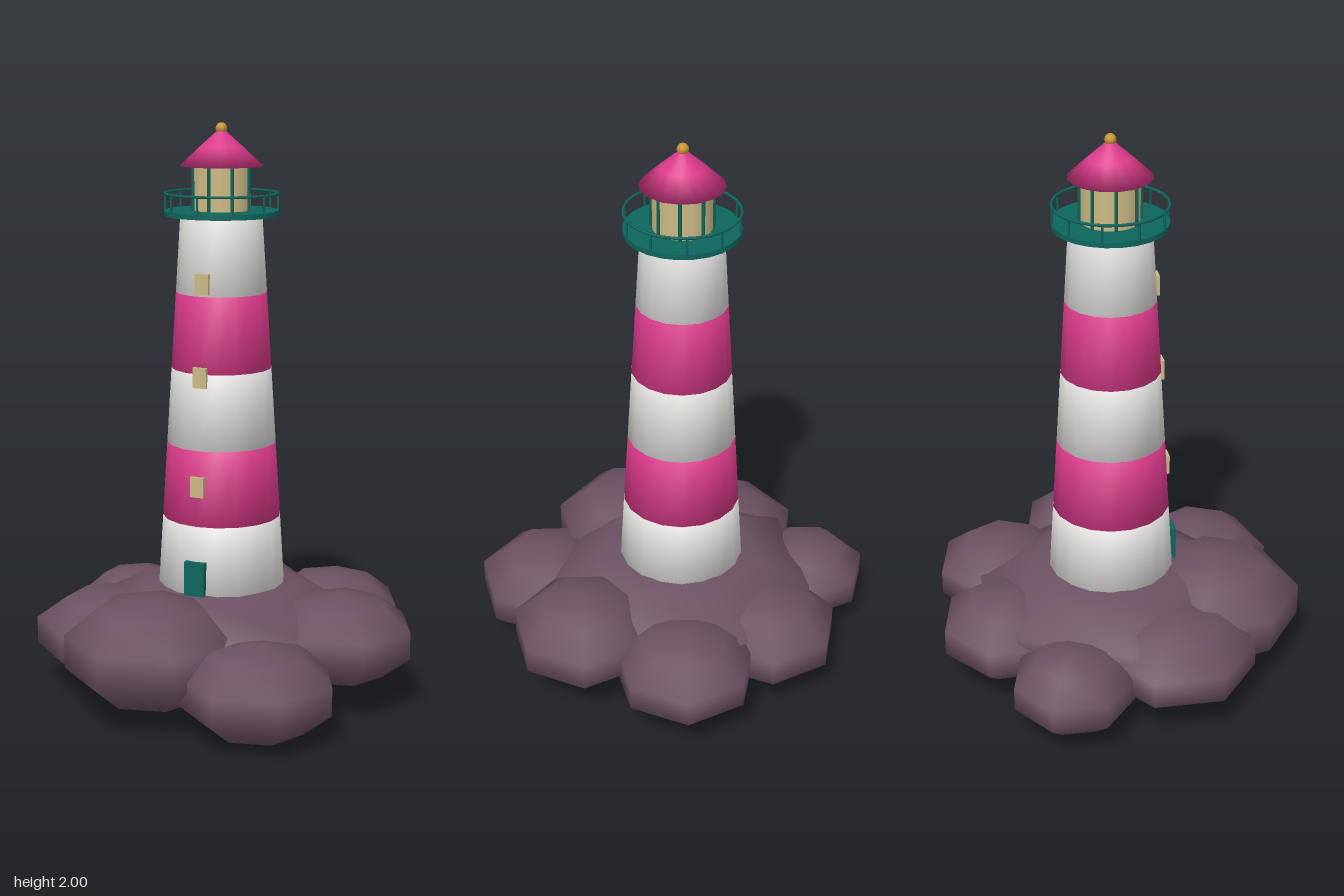
import * as THREE from 'three';
import { mergeVertices } from 'three/addons/utils/BufferGeometryUtils.js';

const mat = (name, color, side = THREE.FrontSide) => {
  const m = new THREE.MeshStandardMaterial({ color, side });
  m.name = name;
  return m;
};

// Weld all corners so shading flows softly over every edge
function soften(geometry) {
  geometry.deleteAttribute('normal');
  geometry.deleteAttribute('uv');
  geometry.clearGroups();
  const welded = mergeVertices(geometry, 1e-4);
  welded.computeVertexNormals();
  return welded;
}

export function createModel() {
  const rock = mat('rock', 0x6c5162);
  const white = mat('white paint', 0xe2e1de);
  const pink = mat('pink paint', 0xdb3a8a);
  const teal = mat('teal metal', 0x0e665e);
  const glass = mat('warm glass', 0xccba85);
  const gold = mat('gold', 0xc8932f);

  const model = new THREE.Group();
  model.name = 'lighthouse';
  const add = (parent, name, geometry, material, x = 0, y = 0, z = 0) => {
    const mesh = new THREE.Mesh(geometry, material);
    mesh.name = name;
    mesh.position.set(x, y, z);
    parent.add(mesh);
    return mesh;
  };

  // Rocks: x, y, z, radius, half height, direction of one corner (x, z)
  const rocks = new THREE.Group();
  rocks.name = 'rocks';
  model.add(rocks);
  const boulder = soften(new THREE.SphereGeometry(1, 7, 5));
  [
    [-0.035, 0.24, -0.02, 0.48, 0.19, -0.6, -0.8],
    [-0.12, 0.21, -0.4, 0.25, 0.15, -0.06, -0.245],
    [0.247, 0.22, -0.375, 0.248, 0.145, 0.153, -0.195],
    [0.415, 0.25, -0.022, 0.255, 0.155, 1, 0],
    [0.273, 0.165, 0.368, 0.262, 0.16, 0.167, 0.202],
    [-0.126, 0.24, 0.346, 0.3, 0.19, -0.059, 0.294],
    [-0.376, 0.215, 0.146, 0.278, 0.15, -0.254, 0.114],
    [-0.477, 0.19, -0.235, 0.212, 0.14, -0.88, -0.47],
  ].forEach(([x, y, z, r, h, dx, dz], i) => {
    const stone = add(rocks, 'rock' + (i + 1), boulder, rock, x, y, z);
    stone.scale.set(r / 0.951, h, r / 0.951);
    stone.rotation.y = Math.atan2(dz, -dx);
  });

  // Everything above the rocks shares one axis
  const tower = new THREE.Group();
  tower.name = 'tower';
  tower.position.set(-0.036, 0, -0.022);
  model.add(tower);
  const radiusAt = (y) => 0.247 - 0.063 * y;

  // Tapering striped bands
  const bandHeight = 0.262;
  for (let i = 0; i < 5; i++) {
    const y0 = 0.38 + i * bandHeight;
    const y1 = y0 + bandHeight;
    const band = new THREE.CylinderGeometry(radiusAt(y1), radiusAt(y0), bandHeight, 18);
    add(tower, 'band' + (i + 1), soften(band), i % 2 ? pink : white, 0, (y0 + y1) / 2, 0);
  }

  // Door and windows on the front
  add(tower, 'door', new THREE.BoxGeometry(0.075, 0.12, 0.03), teal, 0, 0.46, 0.215);
  [0.78, 1.155, 1.47].forEach((y, i) => {
    add(tower, 'window' + (i + 1), new THREE.BoxGeometry(0.05, 0.07, 0.02), glass, 0, y, radiusAt(y) - 0.002);
  });

  // Gallery deck and railing
  add(tower, 'galleryDeck', new THREE.CylinderGeometry(0.196, 0.196, 0.018, 24), teal, 0, 1.697, 0);
  const rail = add(tower, 'railing', new THREE.TorusGeometry(0.193, 0.005, 6, 24), teal, 0, 1.763, 0);
  rail.rotation.x = Math.PI / 2;
  const ring = (name, count, radius, thickness, y0, y1) => {
    const post = new THREE.CylinderGeometry(thickness, thickness, y1 - y0, 6);
    for (let i = 0; i < count; i++) {
      const a = (i / count) * Math.PI * 2;
      add(tower, name + (i + 1), post, teal, Math.sin(a) * radius, (y0 + y1) / 2, Math.cos(a) * radius);
    }
  };
  ring('railPost', 10, 0.193, 0.004, 1.7, 1.763);

  // Lantern room with its bars
  add(tower, 'lanternGlass', new THREE.CylinderGeometry(0.1, 0.1, 0.155, 16), glass, 0, 1.782, 0);
  ring('lanternBar', 8, 0.102, 0.006, 1.705, 1.86);

  // Roof and finial
  const roofProfile = [[0, 1.855], [0.142, 1.855], [0.075, 1.918], [0.012, 1.974], [0, 1.976]]
    .map(([x, y]) => new THREE.Vector2(x, y));
  add(tower, 'roof', soften(new THREE.LatheGeometry(roofProfile, 16)), pink);
  add(tower, 'finial', new THREE.SphereGeometry(0.02, 10, 8), gold, 0, 1.98, 0);

  return model;
}
